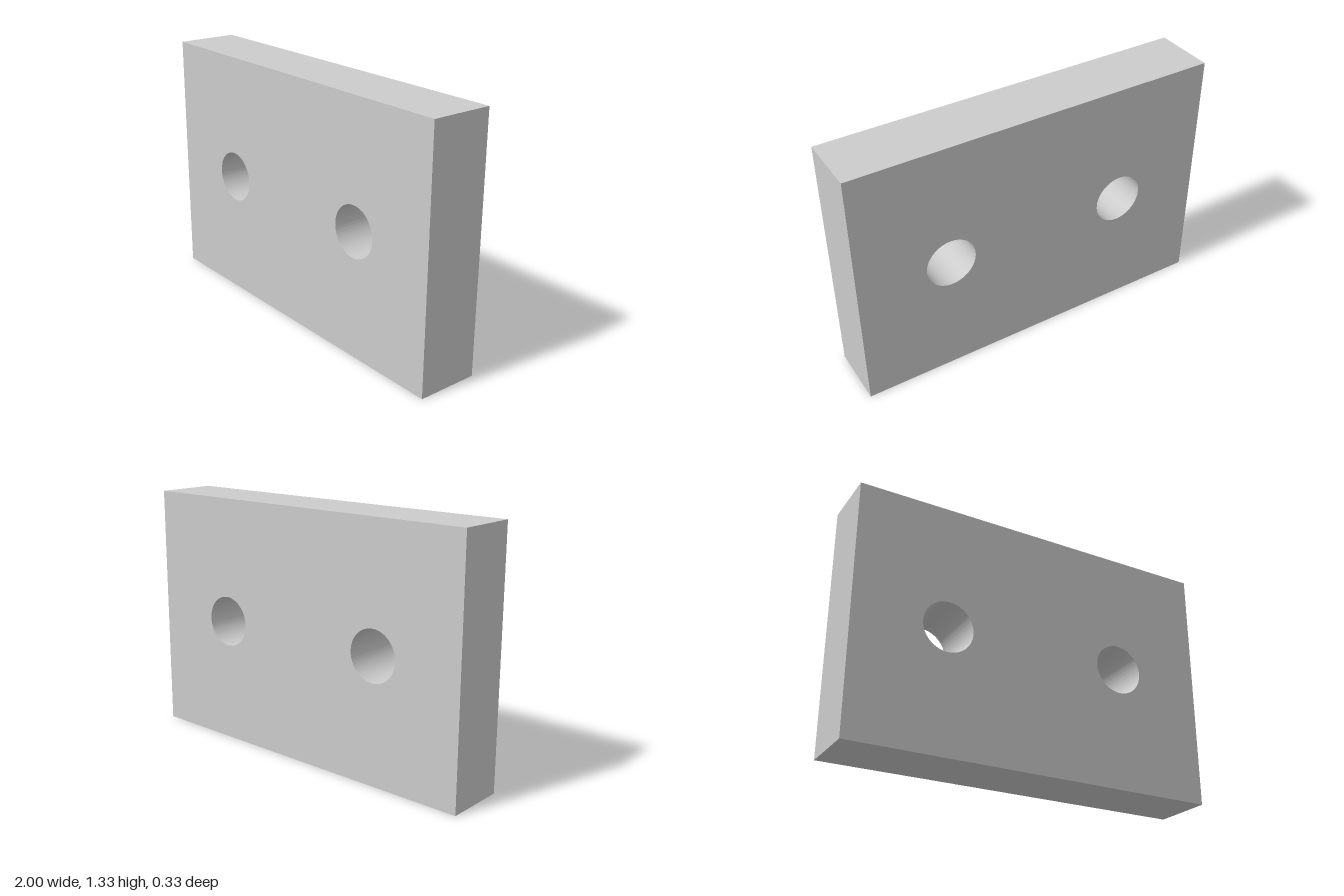
import * as THREE from 'three';
import { toCreasedNormals } from 'three/addons/utils/BufferGeometryUtils.js';

const WIDTH = 2, HEIGHT = 1.333, DEPTH = 0.33;
const HOLE_RADIUS = 0.135, HOLE_X = 0.5;

export function createModel() {
  const group = new THREE.Group();
  group.name = 'mountingBlock';

  // Rectangular outline
  const w = WIDTH / 2;
  const outline = new THREE.Shape([
    new THREE.Vector2(-w, 0),
    new THREE.Vector2(w, 0),
    new THREE.Vector2(w, HEIGHT),
    new THREE.Vector2(-w, HEIGHT),
  ]);

  // Two round through holes at mid height
  for (const side of [-1, 1]) {
    const hole = new THREE.Path();
    hole.absarc(side * HOLE_X, HEIGHT / 2, HOLE_RADIUS, 0, Math.PI * 2, true);
    outline.holes.push(hole);
  }

  // Plate, with smooth bores and sharp edges
  const extruded = new THREE.ExtrudeGeometry(outline, {
    depth: DEPTH, bevelEnabled: false, curveSegments: 64,
  });
  extruded.translate(0, 0, -DEPTH / 2);
  const plate = new THREE.Mesh(
    toCreasedNormals(extruded, Math.PI / 6),
    new THREE.MeshStandardMaterial({ color: 0xcccccc })
  );
  plate.name = 'drilledPlate';
  group.add(plate);

  return group;
}
